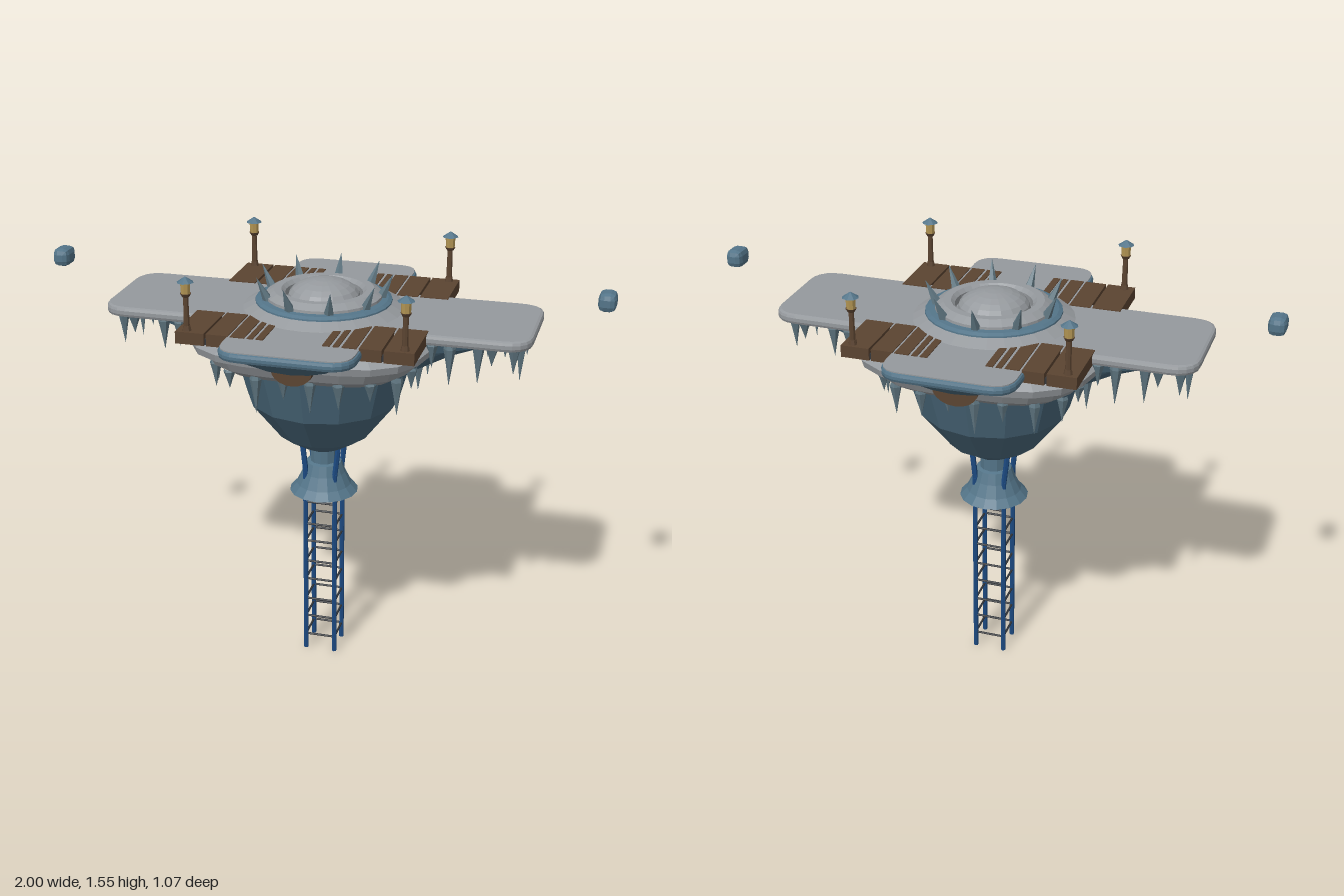
import * as THREE from 'three';
import { RoundedBoxGeometry } from 'three/addons/geometries/RoundedBoxGeometry.js';

const mat = (name, color, side = THREE.FrontSide) => {
  const m = new THREE.MeshStandardMaterial({ color, side, flatShading: true });
  m.name = name;
  return m;
};

export function createModel() {
  const root = new THREE.Group();
  root.name = 'skyPlatform';
  const stone = mat('grey stone', 0x95999d);
  const slate = mat('slate blue', 0x547589, THREE.DoubleSide);
  const hull = mat('dark slate hull', 0x496779, THREE.DoubleSide);
  const frost = mat('frosted slate', 0x607782);
  const wood = mat('dark wood', 0x5b4431);
  const steel = mat('deep blue steel', 0x1c4a82);
  const dark = mat('dark iron', 0x33363a);
  const glow = mat('lantern amber', 0xb39654);

  const add = (name, geo, material, x = 0, y = 0, z = 0, parent = root) => {
    const m = new THREE.Mesh(geo, material);
    m.name = name;
    m.position.set(x, y, z);
    parent.add(m);
    return m;
  };
  const lathe = (pts, seg) => new THREE.LatheGeometry(pts.map(p => new THREE.Vector2(...p)), seg);
  const box = (w, h, d) => new THREE.BoxGeometry(w, h, d);
  const up = new THREE.Vector3(0, 1, 0);
  // Straight rod between two points
  const rod = (name, a, b, r, material) => {
    const p = new THREE.Vector3(...a), q = new THREE.Vector3(...b);
    const d = q.clone().sub(p);
    const m = add(name, new THREE.CylinderGeometry(r, r, d.length(), 6), material);
    m.position.copy(p).add(q).multiplyScalar(0.5);
    m.quaternion.setFromUnitVectors(up, d.normalize());
  };

  // Ladder tower: four posts with rungs on every side
  const P = 0.055;
  for (const sx of [-1, 1]) for (const sz of [-1, 1]) {
    rod('towerPost', [sx * P, 0, sz * P], [sx * P, 0.74, sz * P], 0.009, steel);
    rod('neckBrace', [sx * P * 0.95, 0.72, sz * P * 0.95], [sx * 0.068, 0.86, sz * 0.05], 0.01, steel);
  }
  for (const y of [0.06, 0.14, 0.215, 0.3, 0.375, 0.46, 0.53, 0.62]) for (const s of [-1, 1]) {
    rod('rung', [-P, y, s * P], [P, y, s * P], 0.004, dark);
    rod('rung', [s * P, y, -P], [s * P, y, P], 0.004, dark);
  }

  // Flared skirt, neck and hull bowl
  add('skirt', lathe([[0.125, 0.657], [0.1, 0.685], [0.078, 0.73], [0.064, 0.77], [0.045, 0.775]], 16), slate);
  add('neck', new THREE.CylinderGeometry(0.05, 0.05, 0.14, 12), slate, 0, 0.79);
  add('bowl', lathe([[0, 0.835], [0.08, 0.837], [0.165, 0.89], [0.27, 1.025], [0.32, 1.2], [0.35, 1.28]], 14), hull);

  // Rounded-square rim around the bowl
  const squareness = a => {
    const n = 3.5;
    return Math.pow(Math.abs(Math.cos(a)) ** n + Math.abs(Math.sin(a)) ** n, -1 / n);
  };
  const rim = lathe([[0.29, 1.2], [0.34, 1.2], [0.375, 1.225], [0.395, 1.265], [0.43, 1.275],
    [0.435, 1.3], [0.41, 1.32], [0, 1.325]], 32);
  const rp = rim.attributes.position;
  for (let i = 0; i < rp.count; i++) {
    const x = rp.getX(i), z = rp.getZ(i), k = squareness(Math.atan2(z, x));
    rp.setX(i, x * k * 0.97);
    rp.setZ(i, z * k);
  }
  rim.computeVertexNormals();
  add('rim', rim, stone);

  // Deck slabs: long stone wings and shorter blue-edged balconies
  const slab = (hx, hz, r, h, bevel) => {
    const a = hx - bevel, b = hz - bevel, s = new THREE.Shape();
    s.moveTo(-a + r, -b);
    s.lineTo(a - r, -b); s.quadraticCurveTo(a, -b, a, -b + r);
    s.lineTo(a, b - r); s.quadraticCurveTo(a, b, a - r, b);
    s.lineTo(-a + r, b); s.quadraticCurveTo(-a, b, -a, b - r);
    s.lineTo(-a, -b + r); s.quadraticCurveTo(-a, -b, -a + r, -b);
    const g = new THREE.ExtrudeGeometry(s, {
      depth: h - 2 * bevel, bevelEnabled: bevel > 0, bevelSize: bevel,
      bevelThickness: bevel, bevelSegments: 2, curveSegments: 5
    });
    return g.rotateX(-Math.PI / 2).translate(0, bevel, 0);
  };
  add('wingDeck', slab(0.75, 0.21, 0.08, 0.037, 0.012), stone, 0, 1.325);
  add('balconyDeck', slab(0.232, 0.535, 0.08, 0.034, 0.012), slate, 0, 1.325);
  add('balconyTop', slab(0.224, 0.527, 0.078, 0.004, 0), stone, 0, 1.358);

  // Trough-shaped brackets, lofted along +x from U-shaped sections [x, halfWidth, depth]
  const bracket = (sections, top) => {
    const N = 8, pos = [], idx = [];
    for (const [x, w, d] of sections) for (let i = 0; i <= N; i++) {
      const a = Math.PI * i / N;
      pos.push(x, top - d * Math.sin(a), w * Math.cos(a));
    }
    for (let s = 0; s < sections.length - 1; s++) for (let i = 0; i < N; i++) {
      const a = s * (N + 1) + i, b = a + N + 1;
      idx.push(a, a + 1, b, b, a + 1, b + 1);
    }
    const g = new THREE.BufferGeometry();
    g.setAttribute('position', new THREE.Float32BufferAttribute(pos, 3));
    g.setIndex(idx);
    g.computeVertexNormals();
    return g;
  };
  const wingBracket = bracket([[0.24, 0.16, 0.2], [0.32, 0.175, 0.17], [0.46, 0.18, 0.09], [0.6, 0.17, 0.005]], 1.326);
  const balconyBracket = bracket([[0.36, 0.17, 0.075], [0.44, 0.175, 0.06], [0.51, 0.17, 0.005]], 1.328);
  for (const s of [0, 1]) {
    add('wingBracket', wingBracket, hull).rotation.y = s * Math.PI;
    add('balconyBracket', balconyBracket, hull).rotation.y = Math.PI * (s + 0.5);
    // Half-round timber spout under each balcony
    const spout = add('spout', new THREE.CylinderGeometry(0.07, 0.08, 0.12, 10, 1, false, -Math.PI / 2, Math.PI),
      wood, 0, 1.27, (s ? -1 : 1) * 0.352);
    spout.rotation.x = Math.PI / 2;
    spout.scale.z = 0.75;
  }

  // Corner planks and lantern posts
  const planks = [[0.305, 0.405], [0.222, 0.297], [0.165, 0.214], [0.135, 0.155], [0.1, 0.125]];
  for (const sx of [-1, 1]) for (const sz of [-1, 1]) {
    for (const [a, b] of planks)
      add('plank', box(b - a, 0.042, 0.225), wood, sx * (a + b) / 2, 1.344, sz * 0.283);
    add('plankBeam', box(0.16, 0.02, 0.21), dark, sx * 0.315, 1.335, sz * 0.283);
    const lamp = new THREE.Group();
    lamp.name = 'lantern';
    lamp.position.set(sx * 0.37, 0, sz * 0.373);
    root.add(lamp);
    add('lanternBase', new THREE.CylinderGeometry(0.012, 0.016, 0.02, 8), wood, 0, 1.372, 0, lamp);
    add('lanternPost', new THREE.CylinderGeometry(0.009, 0.011, 0.13, 8), wood, 0, 1.425, 0, lamp);
    add('lanternCollar', new THREE.CylinderGeometry(0.019, 0.012, 0.012, 8), wood, 0, 1.487, 0, lamp);
    add('lanternGlass', new THREE.CylinderGeometry(0.018, 0.016, 0.04, 8), glow, 0, 1.512, 0, lamp);
    add('lanternCap', new THREE.ConeGeometry(0.029, 0.02, 8), slate, 0, 1.541, 0, lamp);
  }

  // Central hub: stepped plinth, blue band, inner ring and dome
  add('hubPlinth', lathe([[0.285, 1.36], [0.28, 1.363], [0.238, 1.385], [0, 1.386]], 28), stone);
  add('hubBand', lathe([[0.24, 1.375], [0.238, 1.39], [0.225, 1.397], [0.19, 1.4]], 28), slate);
  add('hubRing', lathe([[0.205, 1.39], [0.203, 1.408], [0.175, 1.425], [0.148, 1.425], [0.135, 1.412], [0.135, 1.386]], 28), stone);
  const dome = add('hubDome', new THREE.SphereGeometry(0.127, 18, 6, 0, Math.PI * 2, 0, Math.PI / 2), stone, 0, 1.392);
  dome.scale.y = 0.54;

  // Crown of outward-leaning spikes
  const spike = new THREE.ConeGeometry(0.021, 0.105, 5).translate(0, 0.05, 0);
  for (let i = 0; i < 9; i++) {
    const a = -Math.PI / 2 + i * Math.PI * 2 / 9, c = Math.cos(a), s = Math.sin(a);
    const m = add('crownSpike', spike, frost, c * 0.195, 1.39, s * 0.195);
    m.quaternion.setFromUnitVectors(up, new THREE.Vector3(c * 0.48, 1, s * 0.48).normalize());
  }

  // Hanging icicles under the wings and around the rim: a short shoulder, then a long taper
  const icicleShape = lathe([[0, -1], [0.011, -0.5], [0.021, -0.12], [0.017, 0]], 6);
  const icicle = (x, y, z, len, turn) => {
    const m = add('icicle', icicleShape, frost, x, y, z);
    m.scale.y = len;
    m.rotation.y = turn;
  };
  const wingSpots = [[0.7, 0.05, 0.16], [0.7, -0.12, 0.13], [0.69, 0.15, 0.1], [0.64, -0.17, 0.07], [0.62, 0.17, 0.07],
    [0.57, 0.14, 0.15], [0.57, -0.07, 0.13], [0.53, -0.17, 0.12], [0.48, 0.18, 0.15], [0.47, -0.18, 0.1],
    [0.64, 0, 0.1], [0.42, 0.18, 0.09]];
  for (const s of [-1, 1]) wingSpots.forEach(([x, z, l], i) => icicle(s * x, 1.33, s * z, l, i));
  for (let i = 0; i < 24; i++) {
    const a = (i + 0.5) * Math.PI / 12, r = 0.35 * squareness(a);
    icicle(Math.cos(a) * r, 1.22, Math.sin(a) * r, [0.12, 0.08, 0.14, 0.07, 0.1][i % 5], i);
  }

  // Floating pods at either side
  for (const s of [-1, 1])
    add('floatingPod', new RoundedBoxGeometry(0.06, 0.064, 0.084, 1, 0.02), slate, s * 0.97, 1.464);

  return root;
}
